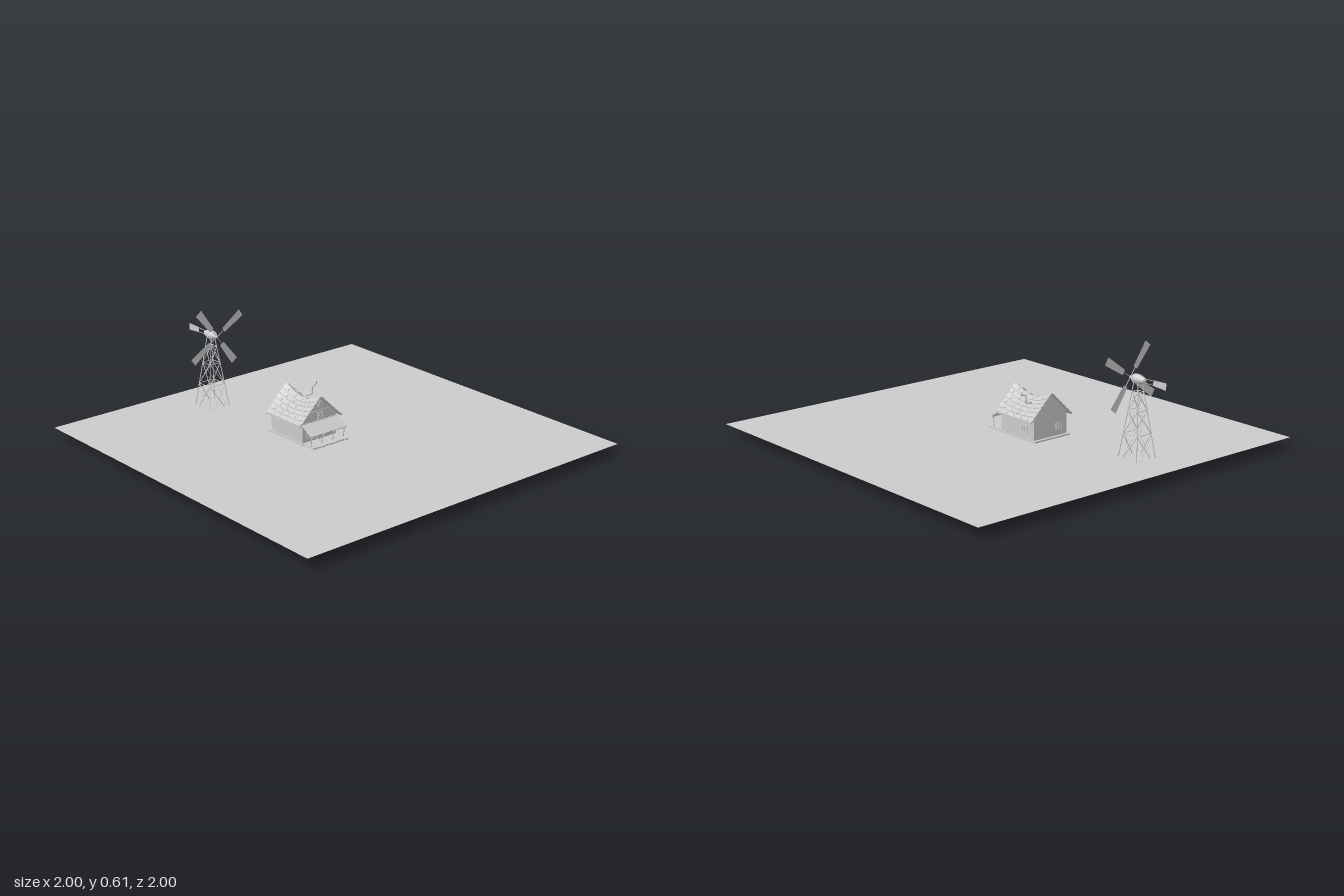
import * as THREE from 'three';

const grey = new THREE.MeshStandardMaterial({ color: 0xcccccc, flatShading: true, side: THREE.DoubleSide });
const GROUND = 0.06;

function add(parent, name, geometry, x = 0, y = 0, z = 0) {
  const mesh = new THREE.Mesh(geometry, grey);
  mesh.name = name;
  mesh.position.set(x, y, z);
  parent.add(mesh);
  return mesh;
}

const box = (parent, name, w, h, d, x, y, z) => add(parent, name, new THREE.BoxGeometry(w, h, d), x, y, z);

// Thin bar between two points
function bar(parent, name, a, b, r = 0.0018) {
  const from = new THREE.Vector3(...a), to = new THREE.Vector3(...b);
  const dir = to.clone().sub(from);
  const mesh = add(parent, name, new THREE.CylinderGeometry(r, r, dir.length(), 5));
  mesh.position.copy(from).add(to).multiplyScalar(0.5);
  mesh.quaternion.setFromUnitVectors(new THREE.Vector3(0, 1, 0), dir.normalize());
}

// Framed window facing +z, with cross bars
function windowUnit(parent, name, w, h, x, y, z, turn = 0) {
  const g = new THREE.Group();
  g.name = name;
  g.position.set(x, y, z);
  g.rotation.y = turn;
  const t = 0.004;
  box(g, 'windowPane', w, h, 0.002, 0, 0, 0);
  for (const s of [-1, 1]) {
    box(g, 'windowJamb', t, h + t, 0.006, s * w / 2, 0, 0.001);
    box(g, 'windowRail', w + t, t, 0.006, 0, s * h / 2, 0.001);
  }
  box(g, 'windowMullion', 0.002, h, 0.005, 0, 0, 0.001);
  box(g, 'windowCrossbar', w, 0.002, 0.005, 0, 0, 0.001);
  parent.add(g);
}

// Sagging roof: t runs from ridge (0) to eave (1), z along the ridge
const ROOF_BACK = -0.257, ROOF_FRONT = 0.012;
function roofHeight(t, z) {
  const u = (2 * z - ROOF_BACK - ROOF_FRONT) / (ROOF_FRONT - ROOF_BACK);
  return 0.293 - 0.13 * t - 0.045 * (1 - u * u) * (1 - t);
}

function buildRoof(parent) {
  const rows = 6, halfWidth = 0.135;
  for (const side of [-1, 1]) {
    for (let i = 0; i < rows; i++) {
      // Each row is a bent slab whose lower edge stands proud of the next row
      const g = new THREE.BoxGeometry(1, 1, 1, 1, 1, 14);
      const p = g.attributes.position;
      for (let k = 0; k < p.count; k++) {
        const across = p.getX(k) * side + 0.5;
        const t = (i + across * 1.08) / (rows + 0.08);
        const z = ROOF_BACK + (p.getZ(k) + 0.5) * (ROOF_FRONT - ROOF_BACK);
        const top = p.getY(k) > 0 ? 0.002 + 0.005 * across : -0.003;
        p.setXYZ(k, side * halfWidth * t, roofHeight(t, z) + top, z);
      }
      g.computeVertexNormals();
      add(parent, 'roofShingleRow', g);
      // Raised loose shingles along the row
      for (let j = 0; j < 5; j++) {
        const z = ROOF_BACK + 0.03 + j * 0.052 + (i % 2) * 0.014;
        const t = (i + 0.72) / rows;
        const s = box(parent, 'looseShingle', 0.013, 0.003, 0.02, side * halfWidth * t, roofHeight(t, z) + 0.0065, z);
        s.rotation.z = -side * 0.7;
      }
    }
  }
}

function buildHouse() {
  const house = new THREE.Group();
  house.name = 'house';
  house.position.x = -0.086;

  // Floor boards and walls
  box(house, 'foundation', 0.232, 0.008, 0.27, 0, 0.064, -0.128);
  box(house, 'walls', 0.216, 0.11, 0.244, 0, 0.117, -0.124);
  const gable = new THREE.Shape([[-0.108, 0.165], [0.108, 0.165], [0.108, 0.185], [0, 0.283], [-0.108, 0.185]]
    .map(([x, y]) => new THREE.Vector2(x, y)));
  for (const z of [-0.246, -0.008]) {
    add(house, 'gableWall', new THREE.ExtrudeGeometry(gable, { depth: 0.008, bevelEnabled: false }), 0, 0, z);
  }
  for (let i = 0; i < 2; i++) box(house, 'gableBeam', 0.216, 0.004, 0.004, 0, 0.168 + i * 0.05, 0.001).scale.x = i ? 0.65 : 1;
  buildRoof(house);

  // Windows and door
  windowUnit(house, 'atticWindow', 0.022, 0.024, 0, 0.253, 0.001);
  windowUnit(house, 'upperWindow', 0.03, 0.032, 0.004, 0.19, 0.001);
  for (const s of [-1, 1]) windowUnit(house, 'frontWindow', 0.034, 0.034, s * 0.07, 0.107, 0.001);
  windowUnit(house, 'sideWindow', 0.034, 0.032, 0.109, 0.115, -0.18, Math.PI / 2);
  windowUnit(house, 'backWindow', 0.034, 0.034, -0.054, 0.115, -0.247, Math.PI);
  box(house, 'door', 0.036, 0.062, 0.005, 0, 0.098, 0.001);
  box(house, 'doorLintel', 0.044, 0.004, 0.007, 0, 0.131, 0.001);

  // Porch with a plank floor and a lean-to roof of boards
  for (let i = 0; i < 9; i++) {
    box(house, 'porchPlank', 0.023, 0.007, 0.084 + (i % 3) * 0.005, -0.1 + i * 0.025, 0.0655, 0.042);
  }
  for (let i = 0; i < 8; i++) {
    const board = box(house, 'porchRoofBoard', 0.0288, 0.004, 0.081 + (i % 2) * 0.004, -0.1015 + i * 0.029, 0.145 + (i % 2) * 0.001, 0.036);
    board.rotation.x = 0.53;
  }
  box(house, 'porchBeam', 0.22, 0.005, 0.005, 0, 0.124, 0.066);
  for (const x of [-0.105, -0.036, 0.036, 0.105]) {
    bar(house, 'porchPost', [x, 0.066, 0.056], [x, 0.126, 0.067], 0.003);
    for (const s of [-1, 1]) {
      if (Math.abs(x + s * 0.016) < 0.11) bar(house, 'postBrace', [x, 0.108, 0.063], [x + s * 0.016, 0.123, 0.066]);
    }
  }

  // Crooked stove pipe
  const path = new THREE.CurvePath();
  const pts = [[0.05, 0.235], [0.09, 0.24], [0.087, 0.278], [0.115, 0.285], [0.113, 0.302]]
    .map(([x, y]) => new THREE.Vector3(x, y, -0.162));
  for (let i = 1; i < pts.length; i++) path.add(new THREE.LineCurve3(pts[i - 1], pts[i]));
  add(house, 'stovePipe', new THREE.TubeGeometry(path, 40, 0.004, 8));
  add(house, 'pipeCap', new THREE.ConeGeometry(0.008, 0.006, 8), 0.113, 0.305, -0.162);
  return house;
}

function buildWindmill() {
  const mill = new THREE.Group();
  mill.name = 'windmill';
  mill.position.set(-0.195, 0, -0.74);

  // Tapered lattice tower
  const half = (y) => 0.07 - 0.057 * y / 0.44;
  const corner = (i, y) => {
    const a = Math.PI / 4 + i * Math.PI / 2, r = half(y) * Math.SQRT2;
    return [r * Math.cos(a), y, r * Math.sin(a)];
  };
  const levels = [0.002, 0.18, 0.295, 0.385, 0.432];
  for (let i = 0; i < 4; i++) {
    bar(mill, 'towerLeg', corner(i, 0.002), corner(i, 0.432), 0.0025);
    levels.forEach((y, k) => {
      bar(mill, 'towerRing', corner(i, y), corner(i + 1, y));
      if (k > 2) return;
      bar(mill, 'towerBrace', corner(i, y), corner(i + 1, levels[k + 1]));
      bar(mill, 'towerBrace', corner(i + 1, y), corner(i, levels[k + 1]));
    });
  }

  // Gear housing, pointed hub and tail
  const profile = [[0, -0.05], [0.012, -0.045], [0.019, -0.025], [0.025, 0.005], [0.022, 0.025], [0.008, 0.043], [0.006, 0.056], [0, 0.06]]
    .map(([r, z]) => new THREE.Vector2(r, z));
  add(mill, 'gearHousing', new THREE.LatheGeometry(profile, 12), 0, 0.447, 0).rotation.x = Math.PI / 2;
  for (const y of [0.436, 0.459]) bar(mill, 'tailRod', [0, 0.447 + (y - 0.447) * 0.8, -0.035], [0, y, -0.11], 0.0015);
  const vane = new THREE.Shape([[0.1, 0.434], [0.185, 0.428], [0.185, 0.464], [0.1, 0.462]]
    .map(([x, y]) => new THREE.Vector2(x, y)));
  add(mill, 'tailVane', new THREE.ShapeGeometry(vane)).rotation.y = Math.PI / 2;

  // Four flat sails, slightly uneven
  const sail = new THREE.Shape([[0.052, -0.014], [0.187, -0.021], [0.187, 0.021], [0.052, 0.014]]
    .map(([x, y]) => new THREE.Vector2(x, y)));
  for (const deg of [33, 127, 215, 306]) {
    const arm = new THREE.Group();
    arm.name = 'sail';
    arm.position.set(0, 0.447, 0.052);
    arm.rotation.z = deg * Math.PI / 180;
    add(arm, 'sailBlade', new THREE.ShapeGeometry(sail));
    bar(arm, 'sailSpar', [0, 0, 0], [0.06, 0, 0], 0.0015);
    mill.add(arm);
  }
  return mill;
}

export function createModel() {
  const model = new THREE.Group();
  model.name = 'farmstead';
  add(model, 'ground', new THREE.PlaneGeometry(2, 2), 0, GROUND, 0).rotation.x = -Math.PI / 2;
  model.add(buildHouse(), buildWindmill());
  return model;
}
